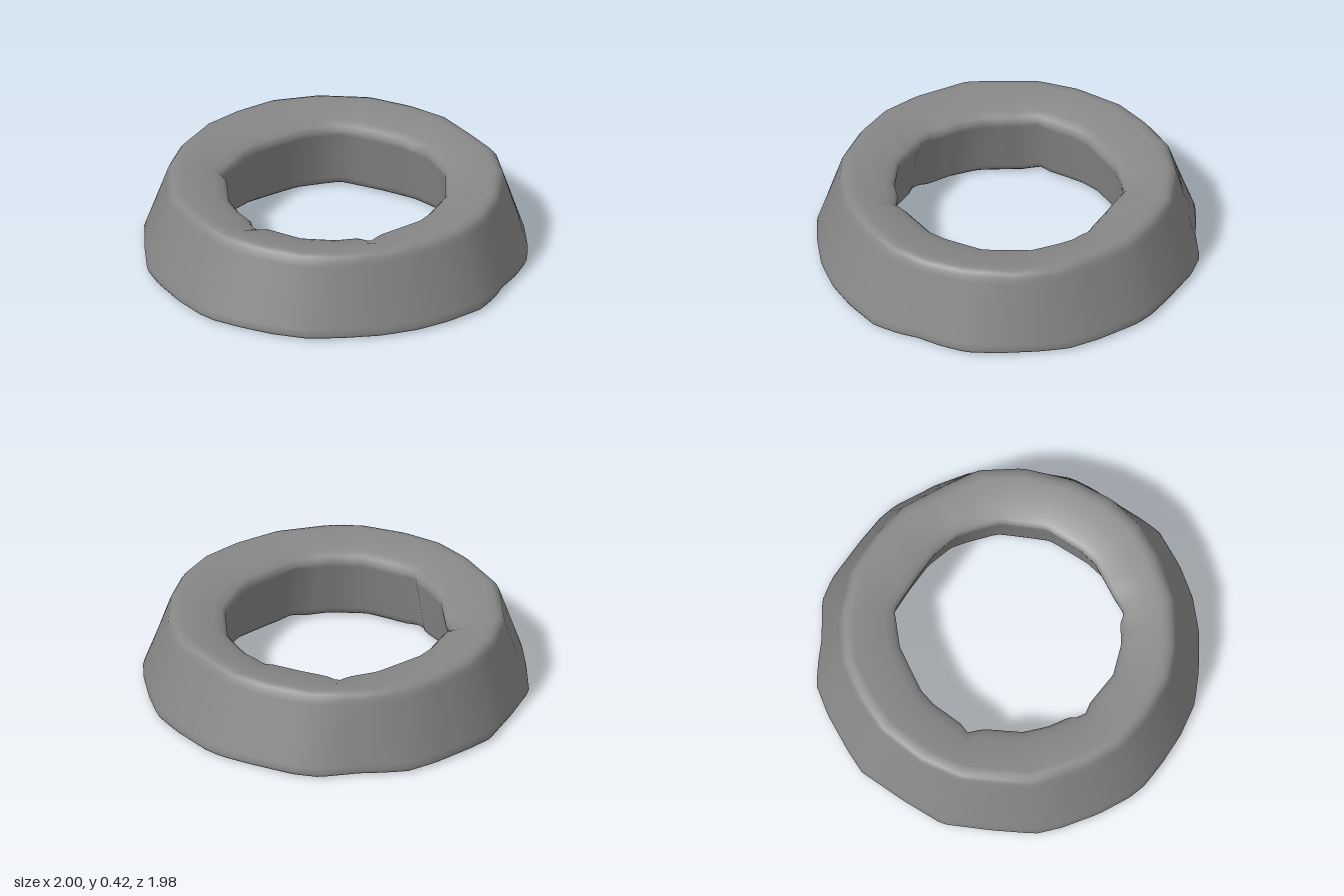
import * as THREE from 'three';

// Hand-shaped outlines as x, z pairs
const OUTER = [-0.03, -0.99, 0.07, -0.99, 0.3, -0.94, 0.47, -0.88, 0.6, -0.78, 0.75, -0.64, 0.85, -0.52,
  0.9, -0.39, 0.93, -0.25, 0.97, -0.15, 1, -0.01, 0.96, 0.2, 0.9, 0.37, 0.8, 0.54, 0.66, 0.7,
  0.53, 0.82, 0.37, 0.9, 0.2, 0.955, 0.05, 0.99, -0.05, 0.99, -0.23, 0.955, -0.42, 0.89, -0.54, 0.83,
  -0.7, 0.67, -0.87, 0.48, -0.94, 0.25, -1, 0, -0.98, -0.13, -0.93, -0.35, -0.87, -0.51,
  -0.77, -0.61, -0.69, -0.68, -0.55, -0.84, -0.43, -0.9, -0.19, -0.96];
const INNER = [-0.02, -0.57, 0.12, -0.57, 0.2, -0.54, 0.33, -0.48, 0.49, -0.3, 0.55, -0.1, 0.56, 0, 0.51, 0.22,
  0.5, 0.3, 0.45, 0.33, 0.38, 0.42, 0.24, 0.52, 0.05, 0.56, 0, 0.585, -0.05, 0.575, -0.08, 0.55,
  -0.19, 0.52, -0.31, 0.46, -0.45, 0.32, -0.53, 0.27, -0.52, 0.23, -0.56, 0.05, -0.56, -0.05,
  -0.49, -0.3, -0.38, -0.47, -0.18, -0.53];
const TOP = [0, -0.845, 0.22, -0.8, 0.42, -0.75, 0.6, -0.61, 0.75, -0.4, 0.83, -0.2, 0.85, 0, 0.81, 0.2,
  0.72, 0.42, 0.56, 0.62, 0.42, 0.73, 0.2, 0.81, 0, 0.84, -0.2, 0.81, -0.47, 0.71, -0.58, 0.6,
  -0.72, 0.45, -0.81, 0.25, -0.855, 0, -0.83, -0.2, -0.77, -0.4, -0.63, -0.59, -0.42, -0.75, -0.2, -0.82];

// Radius of an outline at any angle, following its straight edges
function radiusOf(flat) {
  const pts = [];
  for (let i = 0; i < flat.length; i += 2) pts.push([flat[i], flat[i + 1]]);
  pts.sort((a, b) => Math.atan2(a[0], a[1]) - Math.atan2(b[0], b[1]));
  return (t) => {
    const dx = Math.sin(t), dz = Math.cos(t);
    for (let i = 0; i < pts.length; i++) {
      const [ax, az] = pts[i], [bx, bz] = pts[(i + 1) % pts.length];
      const ca = dz * ax - dx * az, cb = dz * bx - dx * bz;
      if (ca <= 1e-9 && cb > 1e-9 && ax * dx + az * dz > 0) {
        const k = ca / (ca - cb);
        return (ax + (bx - ax) * k) * dx + (az + (bz - az) * k) * dz;
      }
    }
    return Math.hypot(...pts[0]);
  };
}

// Average the normals along each loop so the facets blend softly around the ring
function softenNormals(geometry, N, M, reach) {
  const source = geometry.attributes.normal.clone();
  const sum = new THREE.Vector3(), n = new THREE.Vector3();
  for (let i = 0; i < N; i++) {
    for (let j = 0; j < M; j++) {
      sum.set(0, 0, 0);
      for (let k = -reach; k <= reach; k++) sum.add(n.fromBufferAttribute(source, ((i + k + N) % N) * M + j));
      sum.normalize();
      geometry.attributes.normal.setXYZ(i * M + j, sum.x, sum.y, sum.z);
    }
  }
}

export function createModel() {
  const N = 144;
  const outer = radiusOf(OUTER), inner = radiusOf(INNER), top = radiusOf(TOP);
  const notches = [0, 1.03, -1.09, -2.46, 3.12];

  // Closed cross-section: up the sloped outside, over the rim, down the bore, back underneath
  const section = (t) => {
    const o = outer(t), n = inner(t), r = top(t);
    let dip = 0;
    for (const a of notches) {
      const d = Math.atan2(Math.sin(t - a), Math.cos(t - a));
      dip += 0.012 * Math.exp(-((d / 0.06) ** 2));
    }
    const slope = (k) => o + (r + 0.012 - o) * k;
    return [
      [o - 0.03, 0.003], [o - 0.008, 0.01], [o, 0.025], [slope(0.08), 0.055],
      [slope(0.5), 0.21], [slope(0.92), 0.365], [slope(1), 0.393],
      [r - 0.002, 0.412], [r - 0.025, 0.421], [r - 0.055, 0.422],
      [(r + n) / 2, 0.411 - dip * 0.3], [n + 0.06, 0.392 - dip], [n + 0.02, 0.376 - dip],
      [n, 0.355 - dip], [n + 0.004, 0.325], [n + 0.03, 0.2], [n + 0.055, 0.05],
      [n + 0.065, 0.02], [n + 0.08, 0.006], [n + 0.11, 0.002],
    ];
  };

  const positions = [], index = [];
  const M = section(0).length;
  for (let i = 0; i < N; i++) {
    const t = (i / N) * Math.PI * 2;
    for (const [r, y] of section(t)) positions.push(r * Math.sin(t), y, r * Math.cos(t));
    for (let j = 0; j < M; j++) {
      const i2 = (i + 1) % N, j2 = (j + 1) % M;
      const a = i * M + j, b = i2 * M + j, c = i2 * M + j2, d = i * M + j2;
      index.push(a, b, c, a, c, d);
    }
  }
  const geometry = new THREE.BufferGeometry();
  geometry.setAttribute('position', new THREE.Float32BufferAttribute(positions, 3));
  geometry.setIndex(index);
  geometry.computeVertexNormals();
  softenNormals(geometry, N, M, 4);

  const ring = new THREE.Mesh(geometry, new THREE.MeshStandardMaterial({ color: 0x878787 }));
  ring.name = 'taperedRing';
  const group = new THREE.Group();
  group.name = 'ringBase';
  group.add(ring);
  return group;
}
